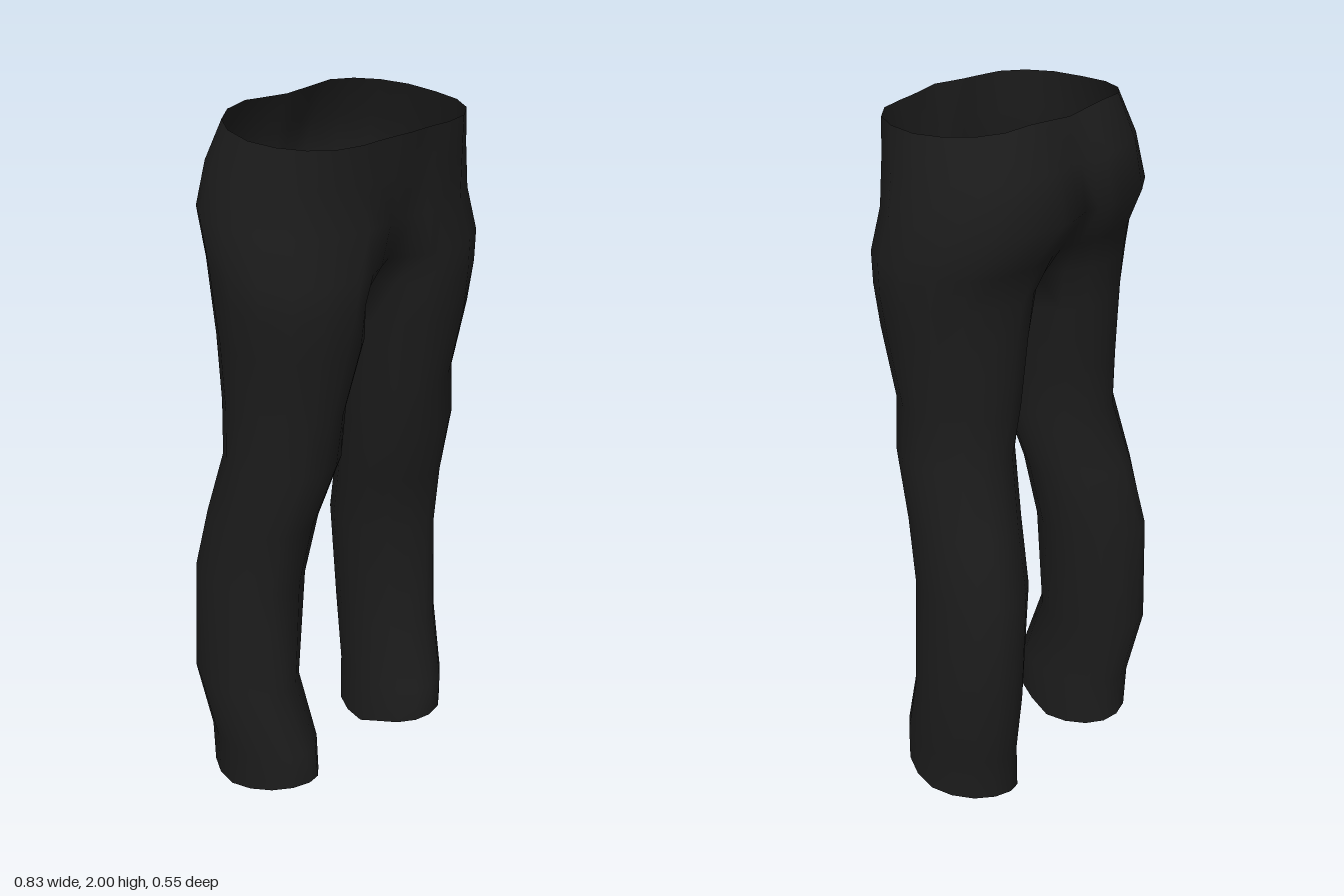
import * as THREE from 'three';
import { mergeVertices } from 'three/addons/utils/BufferGeometryUtils.js';

const N = 16; // points round each half: 0 front, 4 outer side, 8 back, 12 inner side

// Hip rings: y, outer x, ridge x, front z, back z, front z and back z on the centre line, lift of the back
const HIPS = [
  [1.977, 0.332, 0.15, 0.255, -0.187, 0.272, -0.192, 0.023],
  [1.87, 0.36, 0.14, 0.25, -0.245, 0.258, -0.228, 0.01],
  [1.75, 0.388, 0.12, 0.25, -0.274, 0.24, -0.25, 0.0],
  [1.63, 0.402, 0.16, 0.26, -0.205, 0.195, -0.17, 0.0],
  [1.54, 0.398, 0.17, 0.253, -0.188, 0.1, -0.09, 0.0],
];

// Leg rings: y, outer x, ridge x, front z, back z, inner x
const LEGS = [
  [1.42, 0.387, 0.19, 0.24, -0.18, 0.012],
  [1.22, 0.366, 0.2, 0.192, -0.17, 0.05],
  [1.07, 0.376, 0.22, 0.182, -0.153, 0.058],
  [0.88, 0.386, 0.26, 0.125, -0.205, 0.09],
  [0.69, 0.396, 0.28, 0.092, -0.252, 0.11],
  [0.36, 0.415, 0.285, 0.09, -0.252, 0.145],
  [0.16, 0.392, 0.26, 0.15, -0.215, 0.132],
  [0.03, 0.392, 0.25, 0.152, -0.212, 0.13],
];

const power = (v, p) => Math.sign(v) * Math.abs(v) ** p;

// Oval outline about the ridge line; p below 1 squares it, above 1 chamfers it
function outline(i, outer, ridge, front, back, inner, p) {
  const a = (i / N) * Math.PI * 2;
  const s = power(Math.sin(a), p), c = power(Math.cos(a), p);
  const x = ridge + s * (s > 0 ? outer - ridge : ridge - inner);
  return [x, (front + back) / 2 + (c * (front - back)) / 2];
}

function hipRing([y, outer, ridge, front, back, midFront, midBack, lift], k) {
  const last = k === HIPS.length - 1;
  return Array.from({ length: N }, (_, i) => {
    if (i <= 8) {
      const [x, z] = outline(i, outer, ridge, front, back, 0, 0.94);
      return [x, y + (lift * Math.max(0, i - 4)) / 4, z];
    }
    if (i === 12) return [0, last ? 1.48 : y, 0.01]; // lowest point of the crotch
    const t = i < 12 ? (i - 8) / 3 : (16 - i) / 3; // ridge to centre seam
    const [edge, mid] = i < 12 ? [back, midBack] : [front, midFront];
    const ease = t * t * (1.6 - 0.6 * t);
    return [ridge * (1 - t), y + (i < 12 ? lift * (1 - 0.5 * t) : lift * 0.3 * t), edge + (mid - edge) * ease];
  });
}

function legRing([y, outer, ridge, front, back, inner], k) {
  const hem = k === LEGS.length - 1;
  return Array.from({ length: N }, (_, i) => {
    const [x, z] = outline(i, outer, ridge, front, back, inner, 1.03);
    // the hem rises over the foot and drops at the inner heel
    const rise = hem ? (0.03 * Math.max(0, z + 0.03)) / 0.18 : 0;
    const drop = hem ? (0.028 * Math.max(0, 0.27 - x)) / 0.14 : 0;
    return [x, y + rise - drop * (z < 0 ? 1 : 0.5), z];
  });
}

function trousersGeometry() {
  const rings = [...HIPS.map(hipRing), ...LEGS.map(legRing)];
  const positions = [], index = [];
  for (const side of [1, -1]) {
    const base = positions.length / 3;
    for (const ring of rings) for (const [x, y, z] of ring) positions.push(x * side, y, z);
    for (let r = 0; r < rings.length - 1; r++) {
      for (let i = 0; i < N; i++) {
        // no inner wall above the crotch
        if (r < HIPS.length - 1 && (i === 11 || i === 12)) continue;
        const j = (i + 1) % N;
        const a = base + r * N + i, b = base + r * N + j;
        const c = a + N, d = b + N;
        if (side > 0) index.push(a, c, b, b, c, d);
        else index.push(a, b, c, b, d, c);
      }
    }
  }
  const geometry = new THREE.BufferGeometry();
  geometry.setAttribute('position', new THREE.Float32BufferAttribute(positions, 3));
  geometry.setIndex(index);
  const welded = mergeVertices(geometry, 1e-4); // join the halves at the centre seam
  welded.computeVertexNormals();
  return welded;
}

export function createModel() {
  const group = new THREE.Group();
  group.name = 'trousers';
  const cloth = new THREE.MeshStandardMaterial({ color: 0x1c1c1c, side: THREE.DoubleSide });
  cloth.name = 'black cloth';
  const mesh = new THREE.Mesh(trousersGeometry(), cloth);
  mesh.name = 'hipsAndLegs';
  group.add(mesh);
  return group;
}
